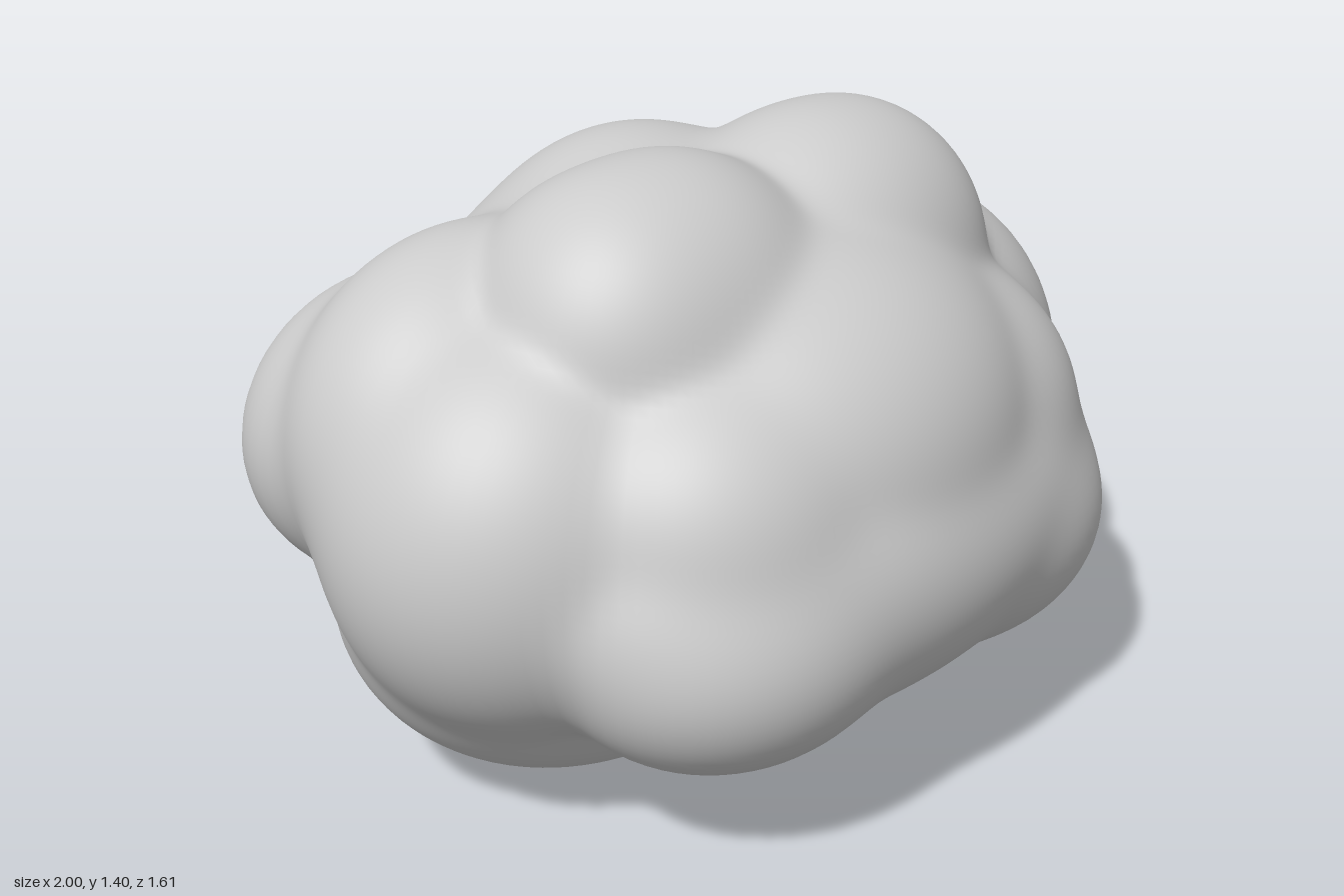
import * as THREE from 'three';
import { mergeVertices } from 'three/addons/utils/BufferGeometryUtils.js';

// Lobes of the body: centre x y z, radii x y z; those off the middle are mirrored
const LOBES = [
  [0, 0.68, 0, 0.8, 0.64, 0.7],             // core
  [0, 0.42, -0.05, 0.6, 0.42, 0.44],        // underside
  [0.3, 0.45, -0.08, 0.57, 0.445, 0.47],    // underside sides
  [0.55, 0.68, 0.05, 0.45, 0.46, 0.42],     // flank
  [0.5, 0.82, -0.15, 0.45, 0.425, 0.33],    // flank crest
  [0.52, 0.76, -0.36, 0.39, 0.34, 0.29],    // rear flank
  [0, 0.7, -0.35, 0.7, 0.4, 0.455],         // rear
  [0, 0.9, -0.2, 0.44, 0.43, 0.36],         // rear crown
  [0.25, 1.03, 0.12, 0.41, 0.365, 0.34],    // top lobe
  [0.36, 1.03, 0.1, 0.3, 0.335, 0.32],      // outer top lobe
  [0, 0.78, 0.29, 0.55, 0.44, 0.46],        // upper front
  [0.33, 0.72, 0.3, 0.4, 0.36, 0.4],        // upper front sides
  [0, 0.58, 0.35, 0.78, 0.38, 0.45],        // lower front
  [0.35, 0.5, 0.4, 0.4, 0.3, 0.36],         // lower front sides
].flatMap((l) => (l[0] ? [l, [-l[0], ...l.slice(1)]] : [l]))
  .map(([x, y, z, a, b, c]) => ({
    centre: new THREE.Vector3(x, y, z),
    radii: new THREE.Vector3(a, b, c),
  }));

const CENTRE = new THREE.Vector3(0, 0.65, 0);
const SHARPNESS = 40;

// Far distance at which a ray from the centre leaves a lobe (0 if it misses)
function exitDistance(dir, { centre, radii }) {
  const o = CENTRE.clone().sub(centre).divide(radii);
  const d = dir.clone().divide(radii);
  const a = d.dot(d), b = o.dot(d), c = o.dot(o) - 1;
  const disc = b * b - a * c;
  return disc < 0 ? 0 : Math.max(0, (-b + Math.sqrt(disc)) / a);
}

// Soft maximum of all lobes, leaving shallow creases where they meet
function bodyRadius(dir) {
  let sum = 0;
  for (const lobe of LOBES) sum += exitDistance(dir, lobe) ** SHARPNESS;
  return sum ** (1 / SHARPNESS);
}

export function createModel() {
  let geometry = new THREE.SphereGeometry(1, 160, 112);
  geometry.deleteAttribute('uv');
  geometry.deleteAttribute('normal');
  geometry = mergeVertices(geometry);

  // Push the sphere out to the lobes
  const pos = geometry.attributes.position;
  const v = new THREE.Vector3();
  for (let i = 0; i < pos.count; i++) {
    v.fromBufferAttribute(pos, i).normalize();
    v.multiplyScalar(bodyRadius(v)).add(CENTRE);
    pos.setXYZ(i, v.x, v.y, v.z);
  }
  geometry.computeVertexNormals();

  const body = new THREE.Mesh(geometry, new THREE.MeshStandardMaterial({ color: 0xcccccc }));
  body.name = 'lobedBody';
  const group = new THREE.Group();
  group.name = 'model';
  group.add(body);
  return group;
}
